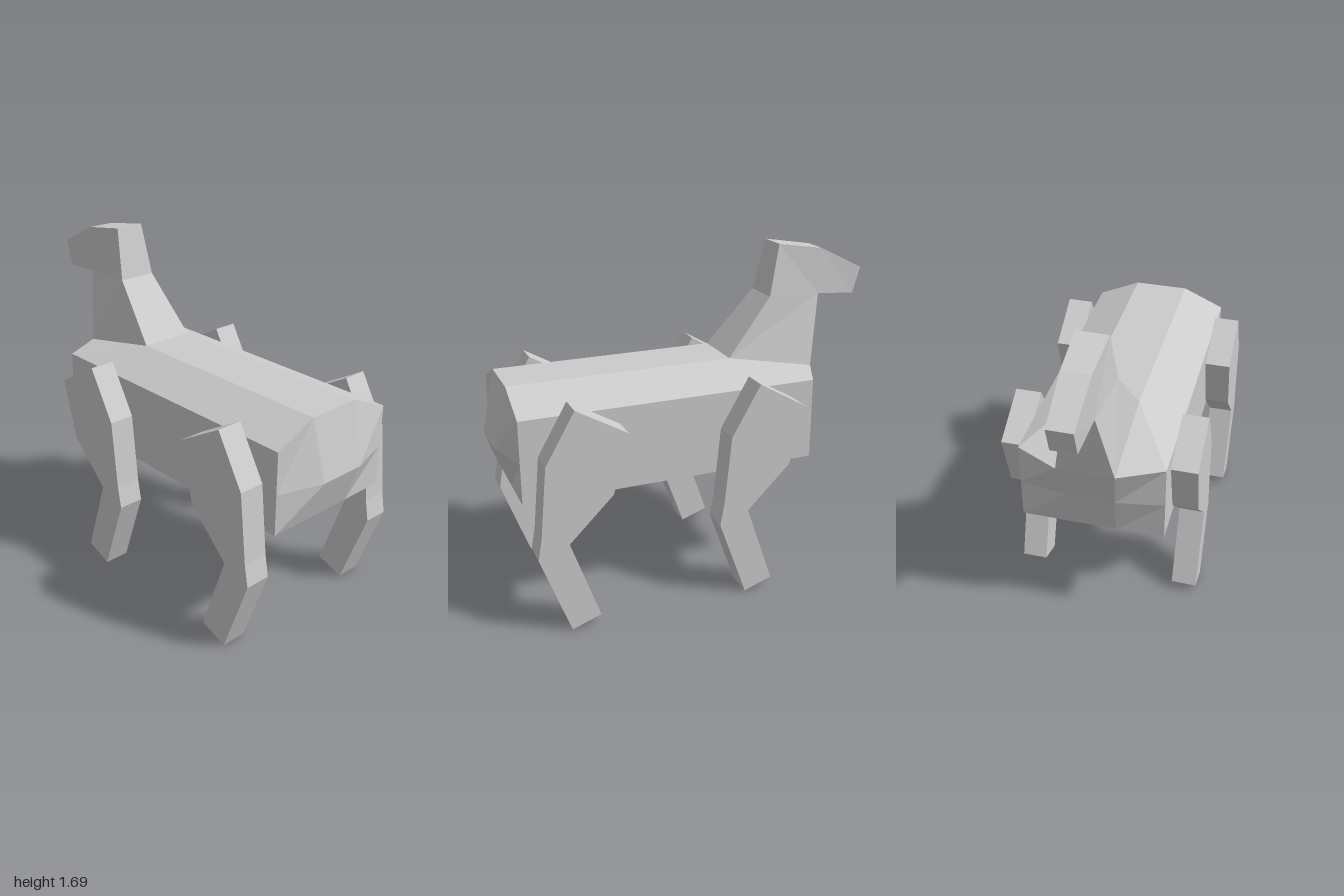
import * as THREE from 'three';

const material = new THREE.MeshStandardMaterial({ color: 0xcccccc, flatShading: true });

// Facets from four-cornered faces, each given counter-clockwise.
function facets(quads) {
  const pos = [];
  for (const [a, b, c, d] of quads) pos.push(...a, ...b, ...c, ...a, ...c, ...d);
  const geo = new THREE.BufferGeometry();
  geo.setAttribute('position', new THREE.Float32BufferAttribute(pos, 3));
  geo.computeVertexNormals();
  return geo;
}

// Quads joining each row of points to the next.
function skin(rows) {
  const quads = [];
  for (let i = 0; i < rows.length - 1; i++)
    for (let j = 0; j < rows[i].length - 1; j++)
      quads.push([rows[i][j], rows[i][j + 1], rows[i + 1][j + 1], rows[i + 1][j]]);
  return quads;
}

function addMesh(group, name, geo) {
  const mesh = new THREE.Mesh(geo, material);
  mesh.name = name;
  group.add(mesh);
  return mesh;
}

// Torso: four-point rows running up the rump, along the back, down the chest and under the belly.
function torso() {
  const W = 0.355;
  const profile = [ // outer y, outer z, inner x, inner y, inner z
    [0.64, 0.93, 0.12, 0.64, 0.93],
    [0.845, 0.93, 0.12, 0.845, 1.0],
    [1.055, 0.93, 0.14, 1.15, 0.93],
    [1.055, -0.575, 0.14, 1.15, -0.21],
    [1.055, -0.575, 0.14, 1.055, -0.68],
    [0.845, -0.575, 0.12, 0.845, -0.615],
    [0.64, -0.575, 0.12, 0.64, -0.575],
  ];
  const rows = profile.map(([oy, oz, ix, iy, iz]) =>
    [[-W, oy, oz], [-ix, iy, iz], [ix, iy, iz], [W, oy, oz]]);
  const quads = skin([...rows, rows[0]]);
  // flat flanks
  const flank = (x) => [[x, 0.64, 0.93], [x, 0.64, -0.575], [x, 1.055, -0.575], [x, 1.055, 0.93]];
  quads.push(flank(W), flank(-W).reverse());
  return facets(quads);
}

// Neck and head: four-sided rings from the shoulders to the muzzle.
function neckAndHead() {
  const sections = [ // nape z, y, half width; throat z, y, half width
    [-0.21, 1.15, 0.14, -0.68, 1.055, 0.14],
    [-0.45, 1.435, 0.1, -0.745, 1.42, 0.072],
    [-0.505, 1.695, 0.077, -0.745, 1.42, 0.072],
    [-0.755, 1.655, 0.068, -0.745, 1.42, 0.072],
    [-1.0, 1.535, 0.06, -0.96, 1.4, 0.06],
  ];
  const rings = sections.map(([z, y, w, tz, ty, tw]) =>
    [[-w, y, z], [w, y, z], [tw, ty, tz], [-tw, ty, tz], [-w, y, z]]);
  const muzzle = rings[rings.length - 1].slice(0, 4);
  return facets([...skin(rings), muzzle]);
}

// Leg: bent side outline given as z, y, extruded across x.
function leg() {
  const outline = [
    [0.7, 1.12], [0.45, 0.975], [0.53, 0.68], [0.75, 0.465], [0.61, 0.055],
    [0.755, 0.005], [0.9, 0.41], [0.88, 0.52], [0.845, 0.87],
  ];
  const shape = new THREE.Shape(outline.map(([z, y]) => new THREE.Vector2(z, y)));
  const geo = new THREE.ExtrudeGeometry(shape, { depth: 0.13, bevelEnabled: false });
  return geo.rotateY(-Math.PI / 2).translate(0.065, 0, 0);
}

export function createModel() {
  const model = new THREE.Group();
  model.name = 'lowPolyAnimal';
  addMesh(model, 'torso', torso());
  addMesh(model, 'neckAndHead', neckAndHead());

  // Four matching legs against the flanks
  const legGeo = leg();
  for (const [side, x] of [['left', 0.42], ['right', -0.42]])
    for (const [end, z] of [['Rear', 0], ['Front', -0.915]])
      addMesh(model, `${side}${end}Leg`, legGeo).position.set(x, 0, z);

  return model;
}
